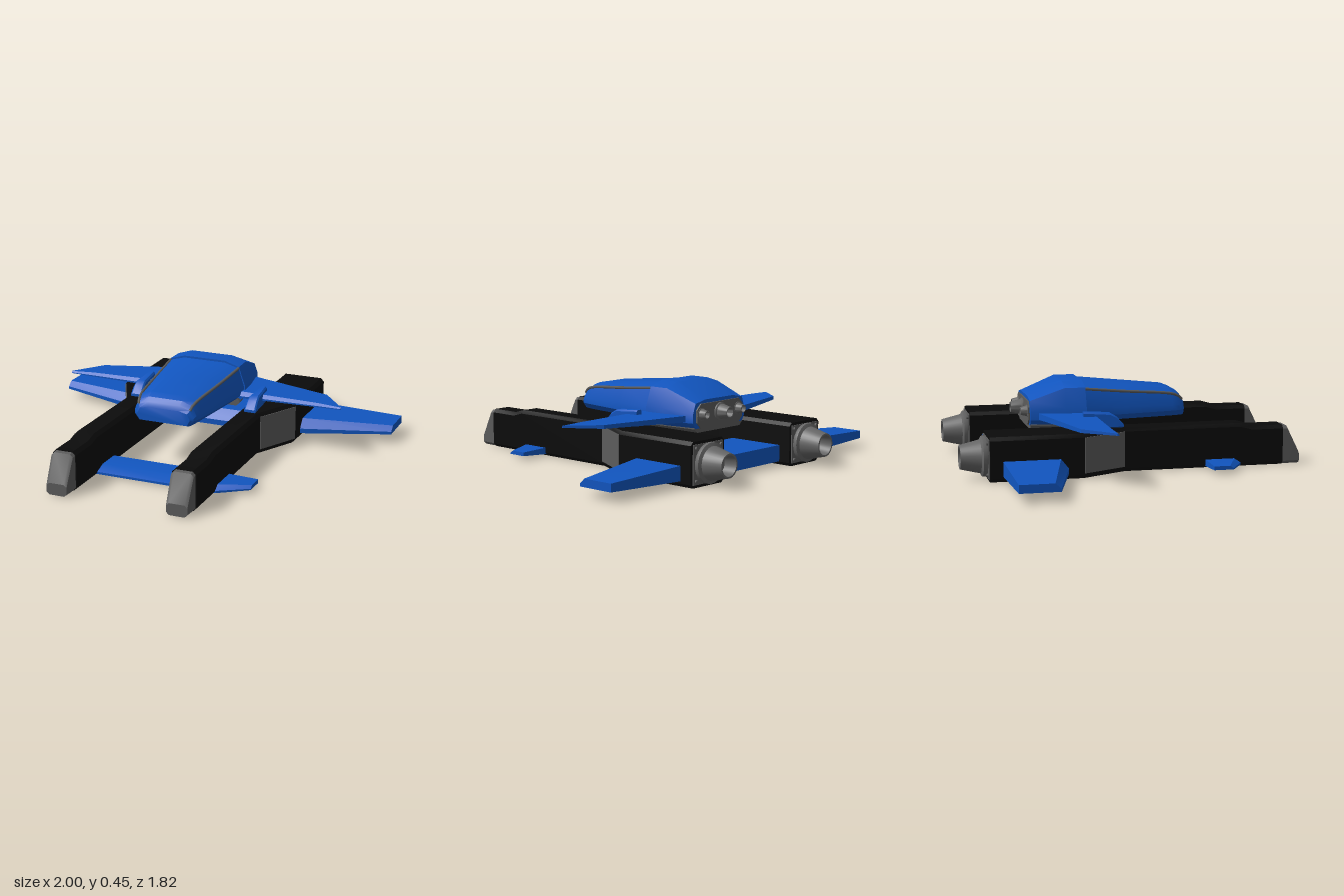
import * as THREE from 'three';
import { toCreasedNormals } from 'three/addons/utils/BufferGeometryUtils.js';

const paint = (color, side = THREE.FrontSide) => new THREE.MeshStandardMaterial({ color, side });
const blue = paint(0x1155bf);
const black = paint(0x0b0b0b);
const grey = paint(0x5c5c5c);
const metal = paint(0x666666, THREE.DoubleSide);

// Skin a stack of equal-sized rings of [x, y, z] points and cap both ends.
function loft(rings) {
  const pos = [];
  const tri = (...pts) => pts.forEach((p) => pos.push(...p));
  const n = rings[0].length;
  for (let i = 0; i < rings.length - 1; i++) {
    for (let j = 0; j < n; j++) {
      const k = (j + 1) % n;
      const [a, b, c, d] = [rings[i][j], rings[i][k], rings[i + 1][k], rings[i + 1][j]];
      tri(a, b, c);
      tri(a, c, d);
    }
  }
  const first = rings[0], last = rings[rings.length - 1];
  for (let j = 1; j < n - 1; j++) {
    tri(first[0], first[j + 1], first[j]);
    tri(last[0], last[j], last[j + 1]);
  }
  const g = new THREE.BufferGeometry();
  g.setAttribute('position', new THREE.Float32BufferAttribute(pos, 3));
  return toCreasedNormals(g, 0.45);
}

// Chamfered rectangle across the z axis.
const rect = (z, x0, x1, y0, y1, c) => [
  [x0 + c, y0, z], [x1 - c, y0, z], [x1, y0 + c, z], [x1, y1 - c, z],
  [x1 - c, y1, z], [x0 + c, y1, z], [x0, y1 - c, z], [x0, y0 + c, z],
];

// Wing section across the x axis with a bevelled leading edge.
const foil = ([x, back, bevel, front, y0, y1]) => [
  [x, y0, back], [x, y1, back], [x, y1, bevel], [x, y0 + (y1 - y0) * 0.35, front], [x, y0, front],
];
const fullWing = (half) => loft([
  ...half.map(([x, ...r]) => foil([-x, ...r])),
  ...[...half].reverse().map(foil),
]);

// Symmetric body section: lower edge, side, shoulder, crown.
const hullRing = ([z, y0, wb, w, ySide, wS, yS, wT, yT]) => {
  const right = [[wb, y0], [w, y0 + 0.03], [w, ySide], [wS, yS], [wT, yT]];
  return [...right.map(([x, y]) => [x, y, z]), ...right.reverse().map(([x, y]) => [-x, y, z])];
};

function add(parent, name, geometry, material, x = 0, y = 0, z = 0) {
  const m = new THREE.Mesh(geometry, material);
  m.name = name;
  m.position.set(x, y, z);
  parent.add(m);
  return m;
}

// Hollow flanged nozzle opening toward -z.
function nozzle(r, length) {
  const profile = [[0, 0], [1, 0], [1.05, 0.08], [1.05, 0.2], [0.88, 0.26], [0.63, 1], [0.54, 1], [0.48, 0.5], [0, 0.5]]
    .map(([a, b]) => new THREE.Vector2(a * r, b * length));
  return toCreasedNormals(new THREE.LatheGeometry(profile, 28).rotateX(-Math.PI / 2), 0.5);
}

function buildSide() {
  const side = new THREE.Group();

  // Long pontoon, wider behind the intake
  add(side, 'pontoon', loft([
    rect(-0.77, 0.265, 0.515, 0.01, 0.24, 0.018),
    rect(-0.29, 0.265, 0.515, 0.01, 0.24, 0.018),
    rect(-0.05, 0.265, 0.395, 0.01, 0.24, 0.018),
    rect(0.575, 0.265, 0.395, 0.01, 0.24, 0.018),
    rect(0.64, 0.265, 0.395, 0.01, 0.222, 0.018),
    rect(0.81, 0.265, 0.395, 0.01, 0.222, 0.018),
  ]), black);
  add(side, 'pontoonNose', loft([
    rect(0.805, 0.27, 0.39, 0.012, 0.218, 0.015),
    rect(0.835, 0.27, 0.39, 0.012, 0.215, 0.015),
    rect(0.905, 0.273, 0.387, 0.012, 0.075, 0.015),
  ]), grey);
  const intake = add(side, 'intake', new THREE.BoxGeometry(0.008, 0.185, 0.26), grey, 0.455, 0.13, -0.17);
  intake.rotation.y = -Math.atan(0.5);

  // Main engine with its bolted plate
  add(side, 'enginePlate', new THREE.BoxGeometry(0.22, 0.2, 0.012), grey, 0.39, 0.125, -0.77);
  const bolt = new THREE.CylinderGeometry(0.009, 0.009, 0.02, 10).rotateX(Math.PI / 2);
  for (const dx of [-0.092, 0.092]) {
    for (const dy of [-0.082, 0.082]) add(side, 'plateBolt', bolt, grey, 0.39 + dx, 0.125 + dy, -0.775);
  }
  add(side, 'mainNozzle', nozzle(0.098, 0.14), metal, 0.39, 0.125, -0.77);

  // Upper wing, swept forward
  add(side, 'upperWing', loft([
    [0.19, -0.475, -0.195, -0.175, 0.268, 0.302],
    [0.675, -0.34, -0.19, -0.175, 0.277, 0.296],
    [0.805, -0.185, -0.181, -0.175, 0.28, 0.291],
  ].map(foil)), blue);

  // Pylon joining wing and pontoon
  const pylon = [[-0.26, 0.018, 0.325], [-0.12, 0.028, 0.315], [-0.085, 0.031, 0.295], [-0.05, 0.033, 0.255]];
  add(side, 'wingPylon', loft(pylon.map(([z, w, y1]) => rect(z, 0.337 - w, 0.337 + w, 0.236, y1, 0.008))), blue);
  return side;
}

export function createModel() {
  const model = new THREE.Group();
  model.name = 'twinHullCraft';

  const left = buildSide();
  left.name = 'leftSide';
  const right = buildSide();
  right.name = 'rightSide';
  right.scale.x = -1;
  model.add(left, right);

  // Wings that run across both pontoons
  add(model, 'rearWing', fullWing([
    [1, -0.705, -0.53, -0.5, 0.06, 0.102],
    [0.515, -0.705, -0.41, -0.37, 0.04, 0.117],
    [0.4, -0.705, -0.385, -0.34, 0.03, 0.117],
  ]), blue);
  add(model, 'frontWing', fullWing([
    [0.555, 0.385, 0.47, 0.49, 0.03, 0.05],
    [0.4, 0.385, 0.54, 0.575, 0.02, 0.055],
    [0.24, 0.385, 0.51, 0.58, 0.02, 0.055],
  ]), blue);

  // Cabin: canopy in front, raised hull behind
  const cabin = [
    [-0.22, 0.25, 0.2, 0.235, 0.325, 0.203, 0.422, 0.12, 0.445],
    [0, 0.252, 0.18, 0.21, 0.32, 0.185, 0.4, 0.11, 0.423],
    [0.26, 0.255, 0.155, 0.182, 0.315, 0.16, 0.375, 0.1, 0.397],
    [0.3, 0.256, 0.15, 0.176, 0.31, 0.152, 0.36, 0.095, 0.382],
    [0.32, 0.257, 0.145, 0.168, 0.3, 0.146, 0.34, 0.09, 0.36],
    [0.332, 0.259, 0.135, 0.15, 0.295, 0.135, 0.325, 0.085, 0.335],
  ];
  add(model, 'canopy', loft(cabin.map(hullRing)), blue);
  for (const s of [-1, 1]) {
    const path = new THREE.CatmullRomCurve3(
      cabin.slice(0, 5).map((c) => new THREE.Vector3(s * c[5], c[6], c[0])));
    add(model, 'canopyTrim', new THREE.TubeGeometry(path, 20, 0.008, 6), grey);
  }
  add(model, 'rearHull', loft([
    [-0.512, 0.235, 0.185, 0.205, 0.31, 0.185, 0.365, 0.11, 0.38],
    [-0.33, 0.235, 0.205, 0.235, 0.33, 0.202, 0.43, 0.12, 0.456],
    [-0.22, 0.235, 0.21, 0.241, 0.33, 0.205, 0.43, 0.12, 0.456],
  ].map(hullRing)), blue);
  add(model, 'belly', loft([
    rect(-0.51, -0.19, 0.19, 0.213, 0.26, 0.02),
    rect(-0.2, -0.22, 0.22, 0.213, 0.26, 0.02),
  ]), grey);

  // Rear engine cluster
  add(model, 'rearPanel', loft([
    rect(-0.52, -0.18, 0.18, 0.235, 0.362, 0.03),
    rect(-0.5, -0.18, 0.18, 0.235, 0.362, 0.03),
  ]), grey);
  add(model, 'centreNozzle', nozzle(0.045, 0.075), metal, 0, 0.308, -0.512);
  for (const x of [-0.145, 0.145]) add(model, 'sideNozzle', nozzle(0.032, 0.045), metal, x, 0.308, -0.512);

  return model;
}
